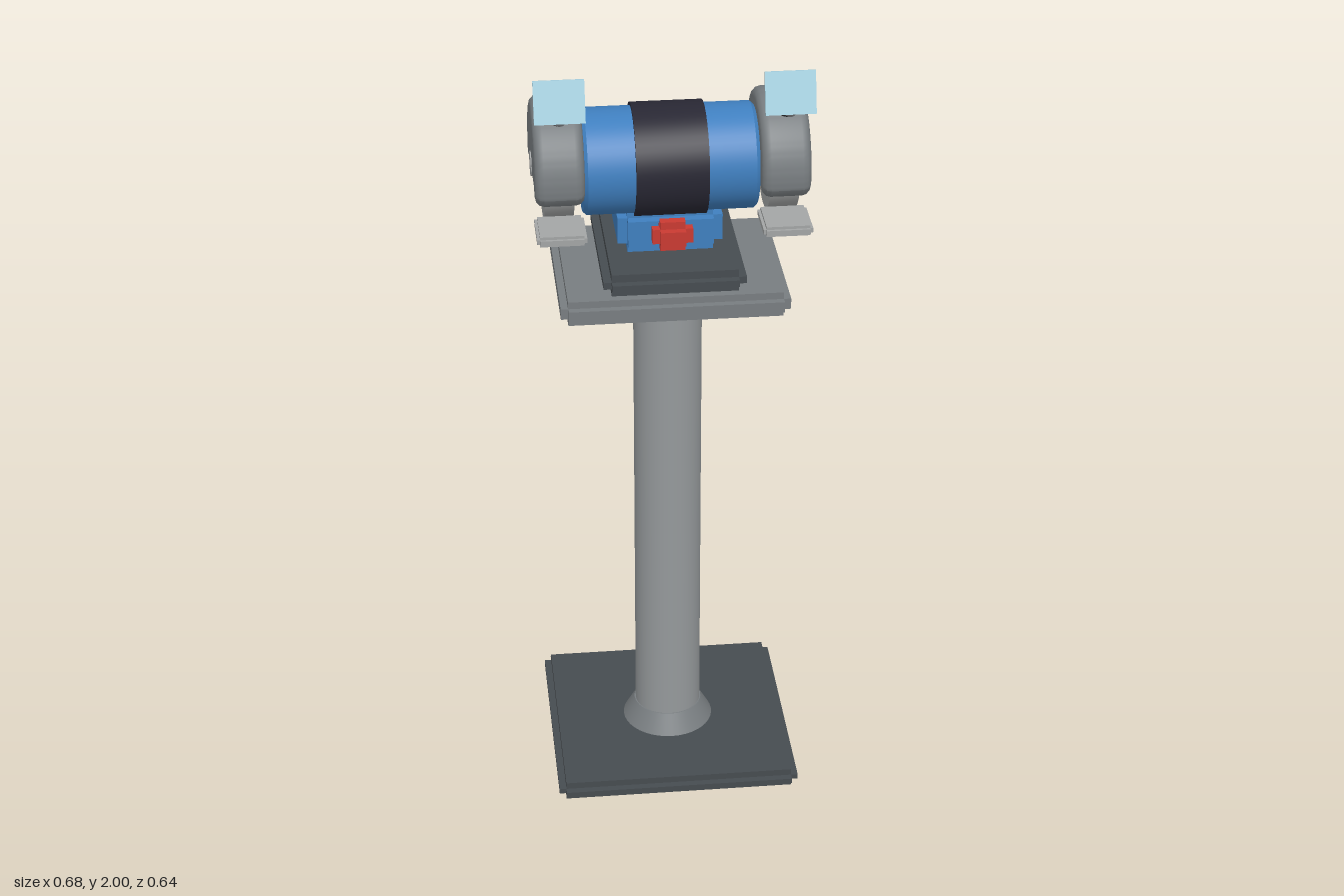
import * as THREE from 'three';
import { toCreasedNormals } from 'three/addons/utils/BufferGeometryUtils.js';

const mat = (name, color, extra = {}) => {
  const m = new THREE.MeshStandardMaterial({ color, ...extra });
  m.name = name;
  return m;
};

export function createModel() {
  const root = new THREE.Group();
  root.name = 'pedestalGrinder';

  const darkIron = mat('darkIron', 0x464c50);
  const castGrey = mat('castGrey', 0x787d80);
  const columnGrey = mat('columnGrey', 0x95999b);
  const lightGrey = mat('lightGrey', 0xa3a5a5);
  const blue = mat('bluePaint', 0x3f7fbf);
  const bandBlack = mat('bandBlack', 0x282733);
  const red = mat('switchRed', 0xc93a32);
  const glass = mat('shieldGlass', 0xa6d2e2);
  const armBlack = mat('armBlack', 0x34373a);

  const add = (parent, name, geo, material, x = 0, y = 0, z = 0) => {
    const m = new THREE.Mesh(geo, material);
    m.name = name;
    m.position.set(x, y, z);
    parent.add(m);
    return m;
  };

  // Block with stepped edges: three crossing boxes, each full size along one axis
  const steppedBlock = (parent, name, [w, h, d], r, material, x, y, z) => {
    const g = new THREE.Group();
    g.name = name;
    g.position.set(x, y, z);
    for (let axis = 0; axis < 3; axis++) {
      const s = [w, h, d].map((v, i) => (i === axis ? v : v - 2 * r));
      add(g, name + 'Core' + axis, new THREE.BoxGeometry(...s), material);
    }
    parent.add(g);
  };

  // Turned part with its axis along x, profile given as [radius, x]
  const turnedX = (points) => {
    const g = new THREE.LatheGeometry(points.map(([r, x]) => new THREE.Vector2(r, x)), 48);
    g.rotateZ(-Math.PI / 2);
    return toCreasedNormals(g, 0.5);
  };

  // Pedestal
  steppedBlock(root, 'floorPlate', [0.636, 0.05, 0.636], 0.018, darkIron, 0, 0.025, 0);
  add(root, 'collar', new THREE.CylinderGeometry(0.09, 0.121, 0.055, 40), castGrey, 0, 0.0755, 0);
  add(root, 'column', new THREE.CylinderGeometry(0.087, 0.087, 1.33, 40), columnGrey, 0, 0.71, 0);
  steppedBlock(root, 'table', [0.566, 0.064, 0.458], 0.018, castGrey, 0, 1.402, 0);
  steppedBlock(root, 'mountingPad', [0.352, 0.058, 0.432], 0.02, darkIron, 0, 1.462, -0.007);
  steppedBlock(root, 'motorFoot', [0.26, 0.116, 0.23], 0.024, blue, 0, 1.549, -0.026);
  steppedBlock(root, 'powerSwitch', [0.1, 0.076, 0.062], 0.019, red, 0, 1.56, 0.118);

  // Motor
  const axleY = 1.712;
  add(root, 'motorBody', turnedX([
    [0, -0.214], [0.124, -0.214], [0.132, -0.205], [0.132, 0.205], [0.124, 0.214], [0, 0.214],
  ]), blue, 0, axleY, 0);
  add(root, 'motorBand', turnedX([
    [0, -0.089], [0.14, -0.089], [0.14, 0.089], [0, 0.089],
  ]), bandBlack, 0, axleY, 0);

  // Guard outline: a hood with two lobes below, thickened along x
  const hood = new THREE.Shape();
  hood.absarc(0, 0, 0.167, -0.16, Math.PI + 0.16, false);
  hood.lineTo(-0.145, -0.05);
  hood.lineTo(-0.122, -0.05);
  hood.lineTo(-0.1, -0.032);
  hood.lineTo(0.1, -0.032);
  hood.lineTo(0.122, -0.05);
  hood.lineTo(0.145, -0.05);
  hood.closePath();
  const bevel = 0.022, guardWidth = 0.121;
  let hoodGeo = new THREE.ExtrudeGeometry(hood, {
    depth: guardWidth - 2 * bevel, curveSegments: 36, bevelEnabled: true,
    bevelThickness: bevel, bevelSize: bevel, bevelOffset: -bevel, bevelSegments: 3,
  });
  hoodGeo.translate(0, 0, -(guardWidth / 2 - bevel));
  hoodGeo.rotateY(Math.PI / 2);
  hoodGeo = toCreasedNormals(hoodGeo, 0.6);

  // Grinding heads, one on each side
  for (const side of [1, -1]) {
    const head = new THREE.Group();
    head.name = side > 0 ? 'leftHead' : 'rightHead';
    head.position.x = side * 0.2745;
    root.add(head);

    add(head, 'guard', hoodGeo, castGrey, 0, axleY, 0);
    add(head, 'wheel', turnedX([
      [0, -0.036], [0.134, -0.036], [0.134, 0.036], [0, 0.036],
    ]), lightGrey, 0, axleY, 0);
    add(head, 'axleCap', turnedX([
      [0, -0.03], [0.031, -0.03], [0.031, 0.03], [0, 0.03],
    ]), lightGrey, side * 0.033, axleY, 0);
    steppedBlock(head, 'toolRest', [0.121, 0.026, 0.13], 0.007, lightGrey, 0, 1.592, 0.138);

    // Eye shield leaning back, with its short arm
    const shield = add(head, 'eyeShield', new THREE.BoxGeometry(0.122, 0.104, 0.008), glass, 0, 1.947, 0.177);
    shield.rotation.x = -0.3;
    const arm = add(head, 'shieldArm', new THREE.CylinderGeometry(0.018, 0.018, 0.078, 24), armBlack, 0, 1.889, 0.142);
    arm.rotation.x = Math.PI / 2 - 0.4;
  }
  return root;
}
